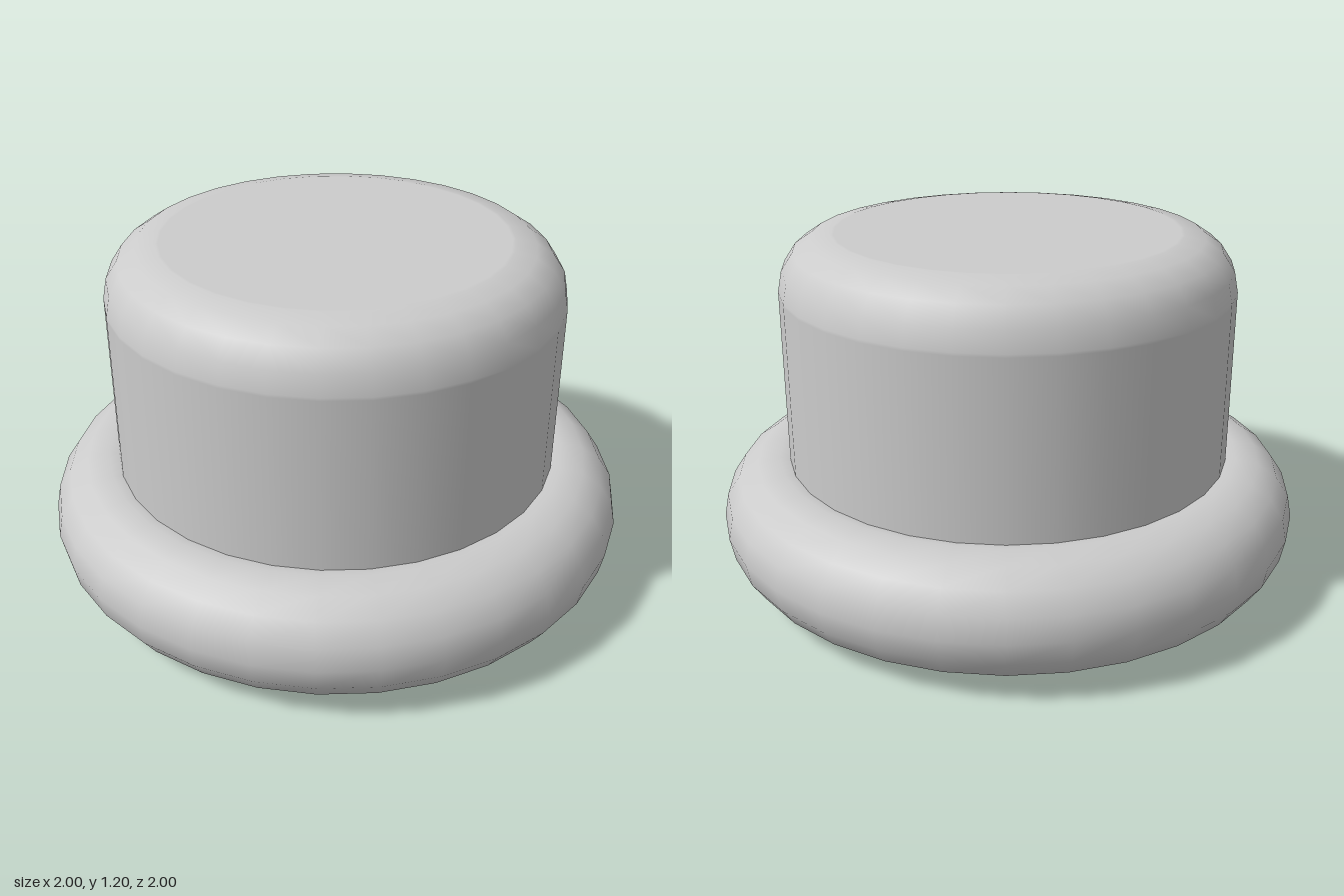
import * as THREE from 'three';

const SEGMENTS = 32;
const RADIUS = 0.765;
const HEIGHT = 1.2;
const FILLET = 0.18;

export function createModel() {
  const group = new THREE.Group();
  const material = new THREE.MeshStandardMaterial({ color: 0xcccccc });

  const add = (name, geometry) => {
    const mesh = new THREE.Mesh(geometry, material);
    mesh.name = name;
    group.add(mesh);
    return mesh;
  };

  // Cylindrical cap with a rounded top edge; the extra rings beside the
  // fillet keep the wall and the top evenly shaded
  const profile = [
    new THREE.Vector2(RADIUS, 0),
    new THREE.Vector2(RADIUS, HEIGHT - FILLET - 0.01),
  ];
  const steps = 4;
  for (let i = 0; i <= steps; i++) {
    const a = (i / steps) * Math.PI / 2;
    profile.push(new THREE.Vector2(
      RADIUS - FILLET + FILLET * Math.cos(a),
      HEIGHT - FILLET + FILLET * Math.sin(a),
    ));
  }
  profile.push(new THREE.Vector2(RADIUS - FILLET - 0.01, HEIGHT), new THREE.Vector2(0, HEIGHT));
  add('cap', new THREE.LatheGeometry(profile, SEGMENTS));

  // Flat underside with a sharp edge
  add('base', new THREE.CircleGeometry(RADIUS, SEGMENTS).rotateX(Math.PI / 2));

  // Round collar around the lower part
  const collar = add('collar', new THREE.TorusGeometry(0.8, 0.2, 16, SEGMENTS).rotateX(Math.PI / 2));
  collar.position.y = 0.23;

  return group;
}
